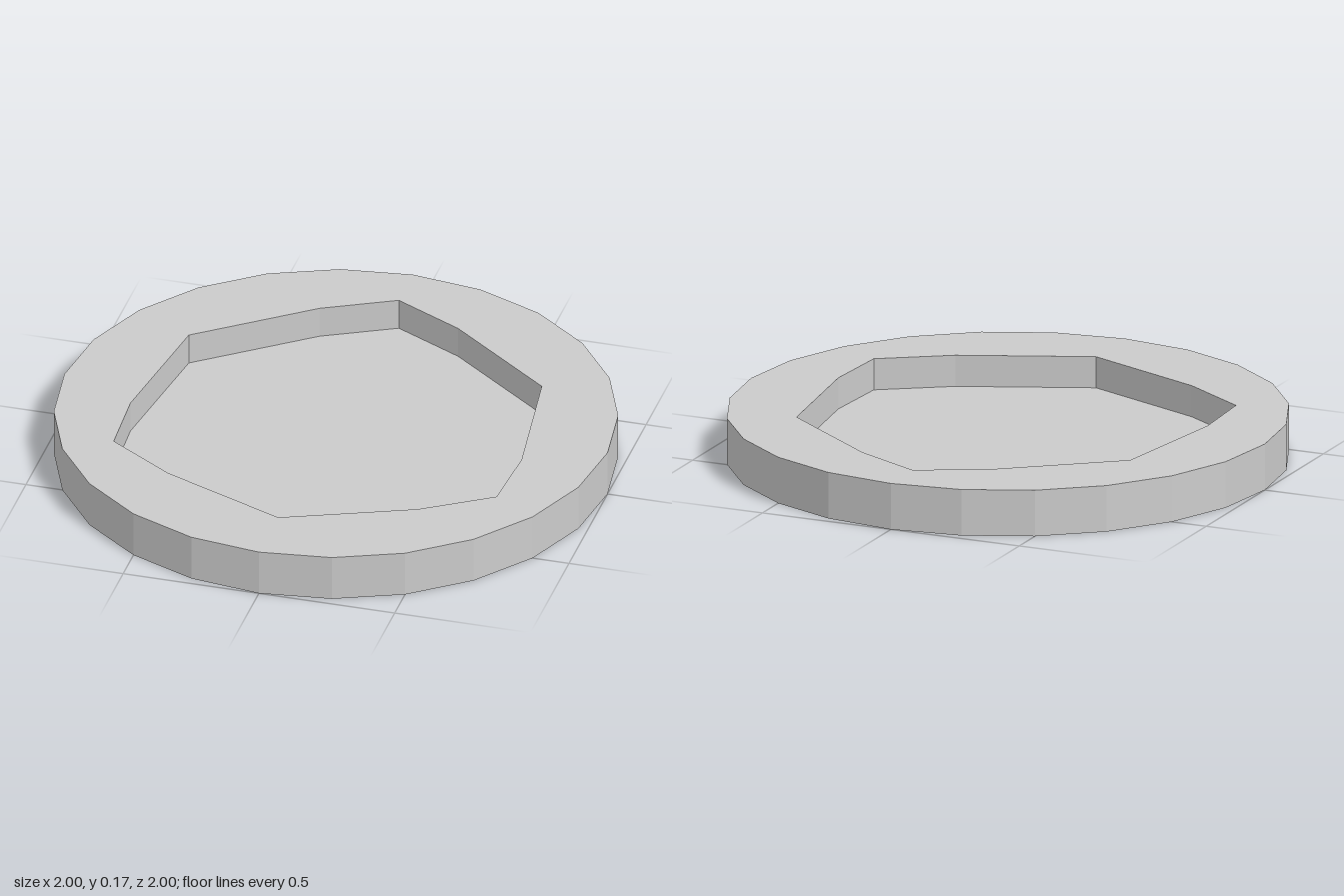
import * as THREE from 'three';

const HEIGHT = 0.17, FLOOR = 0.055, SIDES = 24;

export function createModel() {
  const group = new THREE.Group();
  group.name = 'recessedDisc';
  const material = new THREE.MeshStandardMaterial({ color: 0xcccccc, flatShading: true });
  const add = (name, geometry, y = 0) => {
    const mesh = new THREE.Mesh(geometry, material);
    mesh.name = name;
    mesh.position.y = y;
    group.add(mesh);
  };
  const faceUp = (shape) => new THREE.ShapeGeometry(shape).rotateX(-Math.PI / 2);

  // Disc outline, and the symmetrical recess outline (x, -z), clockwise from the back
  const circle = Array.from({ length: SIDES }, (_, i) => {
    const a = (i / SIDES) * Math.PI * 2;
    return new THREE.Vector2(Math.cos(a), Math.sin(a));
  });
  const half = [[0.255, 0.685], [0.65, 0.38], [0.72, -0.13], [0.705, -0.4], [0.46, -0.56]];
  const recess = [
    [0, 0.815], ...half, [0, -0.75],
    ...half.map(([x, y]) => [-x, y]).reverse(),
  ].map(([x, y]) => new THREE.Vector2(x, y));

  // Outer side and underside
  add('outerWall', new THREE.CylinderGeometry(1, 1, HEIGHT, SIDES, 1, true), HEIGHT / 2);
  add('underside', new THREE.CircleGeometry(1, SIDES).rotateX(Math.PI / 2));

  // Top rim around the recess
  const rim = new THREE.Shape(circle);
  rim.holes.push(new THREE.Path(recess));
  add('topRim', faceUp(rim), HEIGHT);

  // Recess floor and its inward-facing walls
  add('recessFloor', faceUp(new THREE.Shape(recess)), FLOOR);
  const positions = [];
  recess.forEach((a, i) => {
    const b = recess[(i + 1) % recess.length];
    const corner = (p, y) => [p.x, y, -p.y];
    const aLow = corner(a, FLOOR), bLow = corner(b, FLOOR);
    const aTop = corner(a, HEIGHT), bTop = corner(b, HEIGHT);
    positions.push(...aLow, ...bLow, ...bTop, ...aLow, ...bTop, ...aTop);
  });
  const wall = new THREE.BufferGeometry();
  wall.setAttribute('position', new THREE.Float32BufferAttribute(positions, 3));
  wall.computeVertexNormals();
  add('recessWall', wall);

  return group;
}
